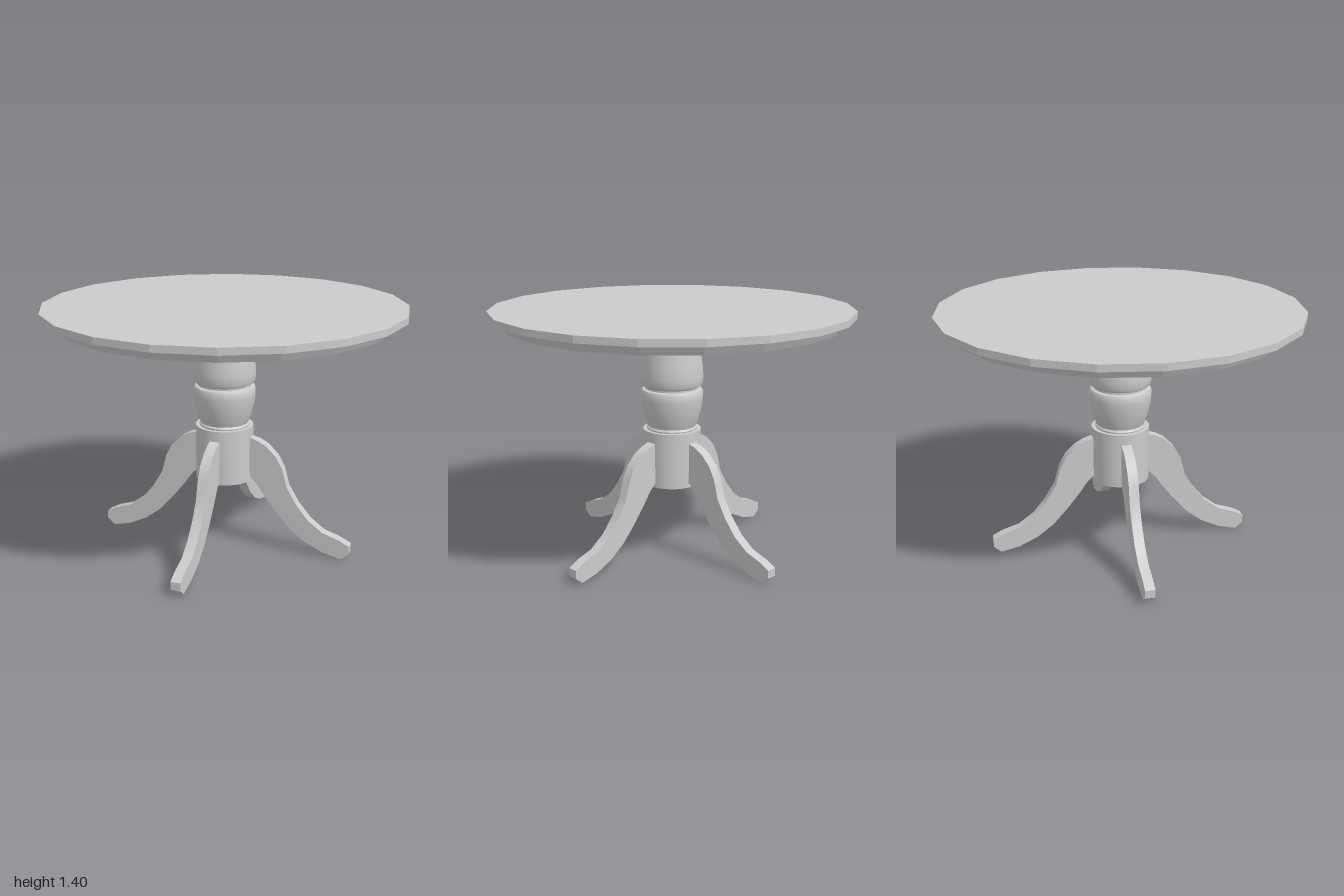
import * as THREE from 'three';
import { toCreasedNormals } from 'three/addons/utils/BufferGeometryUtils.js';

const material = new THREE.MeshStandardMaterial({ color: 0xcccccc });

// Turned part from [radius, height] pairs, listed bottom to top
function turned(name, profile, segments, crease) {
  const points = profile.map(([r, y]) => new THREE.Vector2(r, y));
  const geometry = toCreasedNormals(new THREE.LatheGeometry(points, segments), crease);
  const mesh = new THREE.Mesh(geometry, material);
  mesh.name = name;
  return mesh;
}

// Curved leg, cut from a flat board and reaching out along +x
function legGeometry() {
  const thickness = 0.056;
  const outline = [
    [0.1, 0.66], [0.163, 0.66], [0.21, 0.645], [0.257, 0.62], [0.315, 0.563], [0.352, 0.495],
    [0.38, 0.39], [0.438, 0.293], [0.508, 0.208], [0.593, 0.145], [0.69, 0.113],
    [0.748, 0.083], [0.748, 0.037], [0.705, 0], [0.6, 0.024], [0.492, 0.075],
    [0.4, 0.145], [0.315, 0.24], [0.24, 0.335], [0.205, 0.387], [0.163, 0.43], [0.1, 0.43],
  ];
  const shape = new THREE.Shape(outline.map(([x, y]) => new THREE.Vector2(x, y)));
  const geometry = new THREE.ExtrudeGeometry(shape, { depth: thickness, bevelEnabled: false });
  geometry.translate(0, 0, -thickness / 2);
  return toCreasedNormals(geometry, 0.35);
}

export function createModel() {
  const table = new THREE.Group();
  table.name = 'pedestalTable';

  // Twenty-sided top with a stepped, bevelled underside
  table.add(turned('tableTop', [
    [0, 1.313], [0.925, 1.313], [0.953, 1.365], [1, 1.365], [1, 1.402], [0, 1.402],
  ], 20, 0.1));

  // Turned column with two bulges and a groove
  table.add(turned('column', [
    [0.14, 0.71], [0.143, 0.728], [0.135, 0.738], [0.14, 0.75], [0.155, 0.795], [0.168, 0.85],
    [0.174, 0.9], [0.174, 0.935], [0.167, 0.948], [0.15, 0.953], [0.15, 0.963],
    [0.167, 0.972], [0.174, 0.99], [0.175, 1.03], [0.172, 1.075], [0.16, 1.16],
    [0.147, 1.24], [0.13, 1.314],
  ], 40, 0.6));

  // Plain drum the legs join
  table.add(turned('hub', [[0, 0.405], [0.163, 0.405], [0.163, 0.72], [0, 0.72]], 40, 0.6));

  // Four legs at right angles
  const geometry = legGeometry();
  ['leftLeg', 'backLeg', 'rightLeg', 'frontLeg'].forEach((name, i) => {
    const leg = new THREE.Mesh(geometry, material);
    leg.name = name;
    leg.rotation.y = i * Math.PI / 2;
    table.add(leg);
  });

  return table;
}
